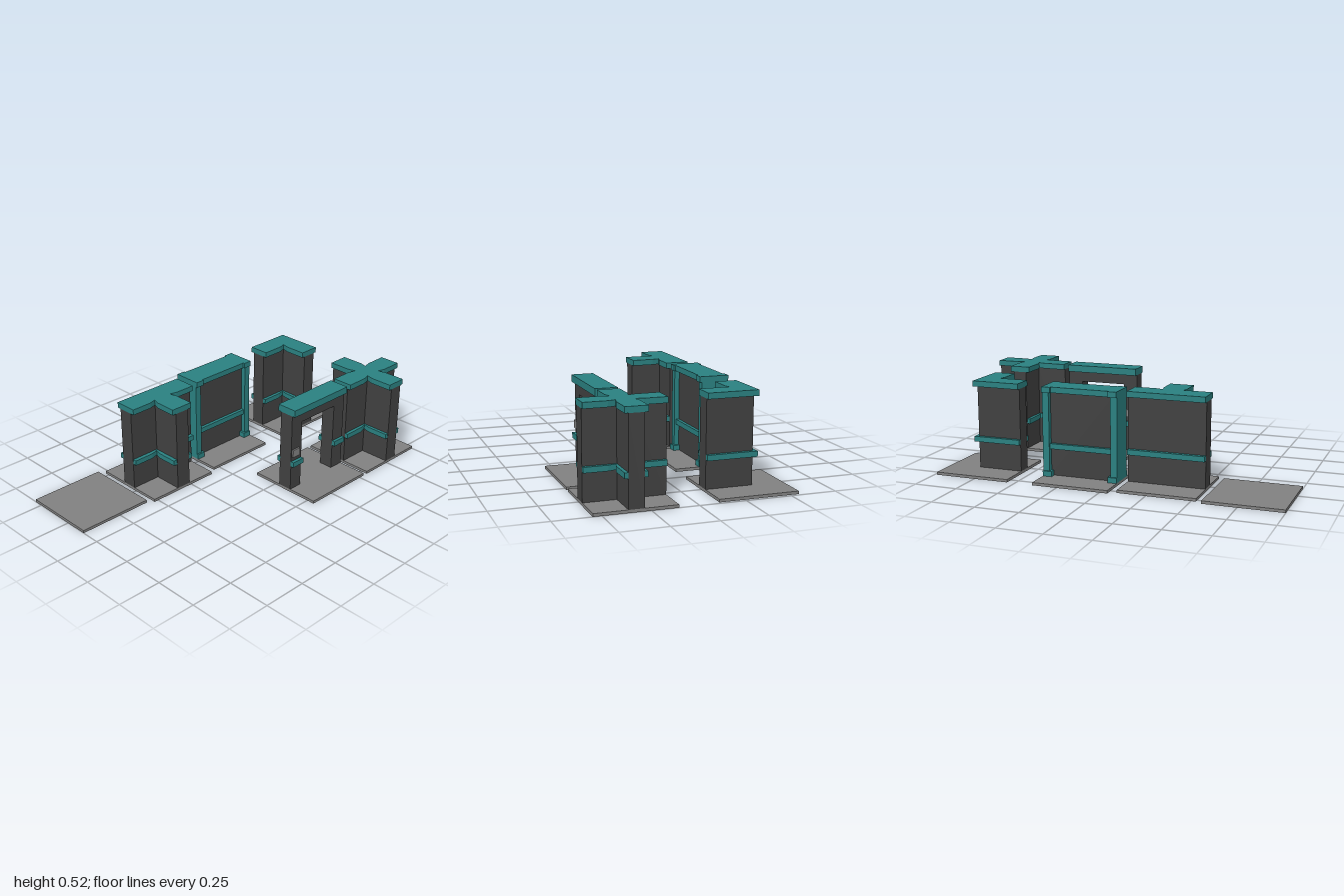
import * as THREE from 'three';

const stone = new THREE.MeshStandardMaterial({ color: 0x404040, flatShading: true });
const trim = new THREE.MeshStandardMaterial({ color: 0x2a8080, flatShading: true });
const slab = new THREE.MeshStandardMaterial({ color: 0x808080, flatShading: true });

const FLOOR = 0.016, TOP = 0.52, CAP = 0.488, BAND = [0.17, 0.2], TILE = 0.438;

function add(group, name, geometry, material) {
  const mesh = new THREE.Mesh(geometry, material);
  mesh.name = name;
  group.add(mesh);
}

// Box given by its minimum and maximum corners
function box(group, name, material, [x0, y0, z0], [x1, y1, z1]) {
  const g = new THREE.BoxGeometry(x1 - x0, y1 - y0, z1 - z0);
  g.translate((x0 + x1) / 2, (y0 + y1) / 2, (z0 + z1) / 2);
  add(group, name, g, material);
}

// Floor plan of arms leaving the centre along +x, +z, -x, -z; inner corners may be pinched
function plan(arms, w, pinch = 0) {
  const points = [];
  arms.forEach((length, k) => {
    const next = arms[(k + 1) % 4];
    const local = length ? [[length, -w], [length, w]] : [];
    if (length && next && pinch) {
      local.push([w + 0.03, w], [w - pinch, w - pinch], [w, w + 0.03]);
    } else local.push([w, w]);
    for (const [a, b] of local) {
      points.push(new THREE.Vector2(...[[a, b], [-b, a], [-a, -b], [b, -a]][k]));
    }
  });
  return new THREE.Shape(points);
}

function slice(group, name, material, shape, y0, y1) {
  const g = new THREE.ExtrudeGeometry(shape, { depth: y1 - y0, bevelEnabled: false });
  g.rotateX(Math.PI / 2).translate(0, y1, 0);
  add(group, name, g, material);
}

function tile(name, x, z) {
  const group = new THREE.Group();
  group.name = name;
  group.position.set(x, 0, z);
  const h = TILE / 2;
  box(group, 'floorSlab', slab, [-h, 0, -h], [h, FLOOR, h]);
  return group;
}

// Tile with meeting walls, a waist band on the sides and a cap
function junction(name, x, z, arms, wall, cap) {
  const group = tile(name, x, z);
  const short = arms.map(a => Math.max(0, a - 0.001));
  slice(group, 'wall', stone, plan(arms, wall), FLOOR, CAP);
  slice(group, 'waistBand', trim, plan(short, cap, 0.012), ...BAND);
  slice(group, 'cap', trim, plan(arms, cap, 0.012), CAP, TOP);
  return group;
}

// Straight wall framed by end posts
function framedWall(x, z) {
  const group = tile('framedWall', x, z), h = TILE / 2;
  box(group, 'panel', stone, [-0.045, FLOOR, -h + 0.03], [0.045, CAP, h - 0.03]);
  box(group, 'waistBand', trim, [-0.064, BAND[0], -h + 0.03], [0.064, BAND[1], h - 0.03]);
  box(group, 'cap', trim, [-0.073, CAP, -h + 0.05], [0.073, TOP, h - 0.05]);
  for (const s of [-1, 1]) {
    const span = (inset) => [s * h, s * (h - inset)].sort((a, b) => a - b);
    const [p0, p1] = span(0.038), [b0, b1] = span(0.052);
    box(group, 'endPost', trim, [-0.073, FLOOR, p0], [0.073, CAP, p1]);
    box(group, 'postBase', trim, [-0.083, FLOOR, b0], [0.083, 0.046, b1]);
    box(group, 'postCap', trim, [-0.083, CAP, b0], [0.083, TOP, b1]);
  }
  return group;
}

// Wall with a doorway, banded jambs and a small control plate on each side
function doorway(x, z) {
  const group = tile('doorway', x, z), h = TILE / 2, w = 0.042;
  const front = 0.136, back = -0.133;
  const outline = new THREE.Shape([
    [-h, FLOOR], [back, FLOOR], [back, 0.42], [front, 0.42],
    [front, FLOOR], [h, FLOOR], [h, 0.48], [-h, 0.48],
  ].map(p => new THREE.Vector2(...p)));
  const g = new THREE.ExtrudeGeometry(outline, { depth: 2 * w, bevelEnabled: false });
  g.rotateY(-Math.PI / 2).translate(w, 0, 0);
  add(group, 'doorFrame', g, stone);
  box(group, 'cap', trim, [-0.061, 0.48, -h], [0.061, TOP, h]);
  for (const s of [-1, 1]) {
    const side = [s * (w - 0.002), s * 0.061].sort((a, b) => a - b);
    for (const [z0, z1] of [[-h, back], [front, h]]) {
      box(group, 'jambBand', trim, [side[0], 0.165, z0], [side[1], 0.196, z1]);
    }
    const plate = [s * (w - 0.002), s * 0.051].sort((a, b) => a - b);
    box(group, 'controlPlate', slab, [plate[0], 0.222, 0.157], [plate[1], 0.267, 0.212]);
  }
  return group;
}

export function createModel() {
  const model = new THREE.Group();
  model.name = 'wallTileSet';
  const a = TILE / 2;
  model.add(
    junction('cornerWall', -0.33, -0.766, [a, a, 0, 0], 0.041, 0.061),
    framedWall(-0.332, -0.174),
    junction('teeWall', -0.305, 0.307, [a, a, 0, a], 0.044, 0.067),
    tile('plainFloor', -0.331, 0.781),
    junction('crossWall', 0.327, -0.781, [a, a, a, a], 0.041, 0.06),
    doorway(0.327, -0.313),
  );
  return model;
}
